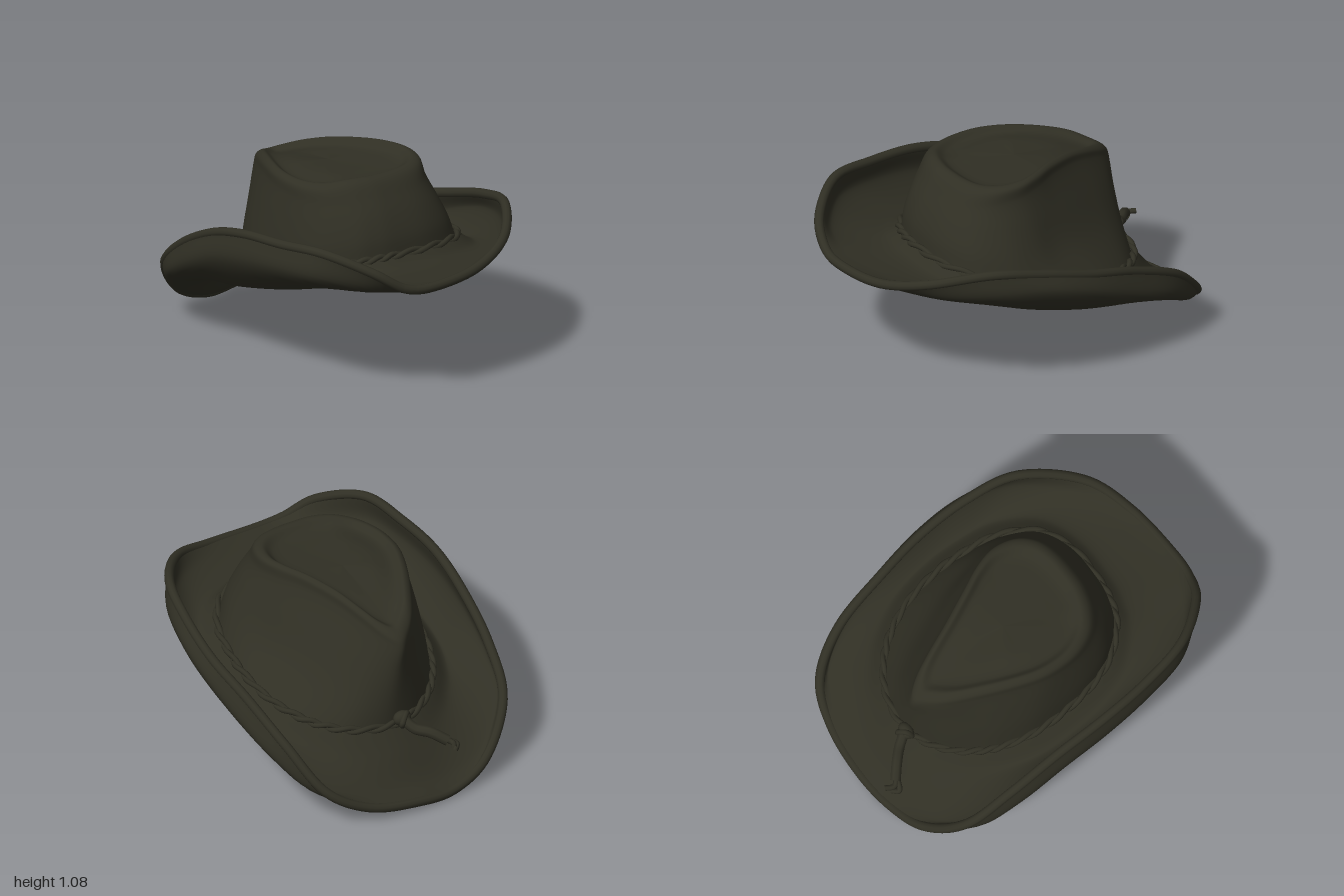
import * as THREE from 'three';

const V = (x, y, z) => new THREE.Vector3(x, y, z);
const felt = new THREE.MeshStandardMaterial({ color: 0x302f24 });
felt.name = 'dark olive felt';

// All rings run front -> left (+x) -> back -> right, with matching points.
const edgePts = [
  [-0.12, 0.64, 0.97], [0.18, 0.665, 0.93], [0.44, 0.74, 0.81], [0.645, 0.805, 0.53],
  [0.71, 0.755, 0.25], [0.72, 0.665, -0.05], [0.68, 0.57, -0.35], [0.62, 0.425, -0.66],
  [0.5, 0.215, -0.87], [0.28, 0.09, -0.95], [0, 0.045, -0.97], [-0.25, 0.03, -0.94],
  [-0.48, 0.13, -0.88], [-0.66, 0.36, -0.74], [-0.71, 0.555, -0.5], [-0.725, 0.71, -0.2],
  [-0.73, 0.795, 0.1], [-0.7, 0.825, 0.4], [-0.63, 0.845, 0.68], [-0.46, 0.765, 0.89], [-0.3, 0.665, 0.96],
].map(p => V(...p));
const bendPts = [
  [-0.1, 0.62, 0.85], [0.2, 0.63, 0.82], [0.47, 0.65, 0.71], [0.665, 0.68, 0.49],
  [0.745, 0.66, 0.23], [0.755, 0.58, -0.03], [0.715, 0.45, -0.32], [0.65, 0.33, -0.6],
  [0.52, 0.2, -0.8], [0.28, 0.13, -0.87], [0, 0.1, -0.88], [-0.25, 0.09, -0.86],
  [-0.5, 0.165, -0.8], [-0.68, 0.32, -0.66], [-0.735, 0.45, -0.45], [-0.75, 0.58, -0.18],
  [-0.75, 0.65, 0.1], [-0.72, 0.69, 0.38], [-0.65, 0.7, 0.64], [-0.46, 0.66, 0.82], [-0.28, 0.63, 0.86],
].map(p => V(...p));
// Teardrop outline of the crown top: x, z
const teardrop = [
  [-0.06, 0.4], [0.1, 0.39], [0.22, 0.35], [0.3, 0.26], [0.325, 0.13], [0.29, 0], [0.22, -0.14],
  [0.13, -0.33], [0.06, -0.5], [0, -0.62], [-0.07, -0.685], [-0.14, -0.64], [-0.22, -0.55],
  [-0.3, -0.4], [-0.37, -0.24], [-0.42, -0.08], [-0.43, 0.06], [-0.41, 0.18], [-0.35, 0.29],
  [-0.25, 0.36], [-0.15, 0.39],
];
const angles = bendPts.map(p => Math.atan2(p.x / 0.77, p.z / 0.93));
// Tilted oval, slightly squared at its front corners
const oval = (rx, rz, y0, slope, cx = 0.02) => angles.map(t => {
  const r = Math.cos(t) > 0 ? 1 + 0.09 * Math.sin(2 * t) ** 2 : 1;
  const z = -0.07 + rz * r * Math.cos(t);
  return V(cx + rx * r * Math.sin(t), y0 + slope * z, z);
});
const crestY = (x, z) =>
  1.075 - 0.42 * Math.min(0, z) ** 2 - 0.1 * Math.max(0, z) ** 2 + 0.24 * Math.min(0, x + 0.2);
const topRing = (scale, drop) => teardrop.map(([x, z]) => {
  const px = -0.06 + (x + 0.06) * scale, pz = -0.08 + (z + 0.08) * scale;
  return V(px, crestY(px, pz) - drop, pz);
});

const baseRing = oval(0.51, 0.62, 0.53, 0.24);
// Shoulder swells forward below the crest and stays high at the pinched back
const shoulder = topRing(1, 0.075).map((p, i) => {
  const c = Math.cos(angles[i]);
  return V(p.x, p.y - 0.025 * c, p.z + 0.05 * Math.max(0, c));
});
// Side of the crown: bulges at the front and right, hollows on the left
const sideRing = s => baseRing.map((b, i) => {
  const t = angles[i];
  const k = s ** (1 + 0.9 * Math.max(0, Math.cos(t)) - 0.35 * Math.sin(t));
  const p = b.clone().lerp(shoulder[i], k);
  p.y = THREE.MathUtils.lerp(b.y, shoulder[i].y, s);
  return p;
});
const ringCurve = pts => new THREE.CatmullRomCurve3(pts, true, 'catmullrom', 0.5);

// Smooth surface through a stack of closed rings
function loft(rings, nu, nv) {
  const curves = rings.map(ringCurve), pos = [], idx = [];
  const columns = Array.from({ length: nu }, (_, i) =>
    new THREE.CatmullRomCurve3(curves.map(c => c.getPoint(i / nu))));
  for (let j = 0; j <= nv; j++)
    for (let i = 0; i < nu; i++) {
      const p = columns[i].getPoint(j / nv);
      pos.push(p.x, p.y, p.z);
      if (j === nv) continue;
      const a = j * nu + i, c = j * nu + (i + 1) % nu;
      idx.push(a, a + nu, c, a + nu, c + nu, c);
    }
  const g = new THREE.BufferGeometry();
  g.setAttribute('position', new THREE.Float32BufferAttribute(pos, 3));
  g.setIndex(idx);
  g.computeVertexNormals();
  return g;
}

// Copy of a surface pushed along its normals; negative offsets face inward
function shell(source, offset) {
  const g = source.clone(), p = g.attributes.position, n = g.attributes.normal;
  for (let i = 0; i < p.count; i++)
    p.setXYZ(i, p.getX(i) + n.getX(i) * offset, p.getY(i) + n.getY(i) * offset, p.getZ(i) + n.getZ(i) * offset);
  if (offset < 0) g.setIndex(Array.from(g.index.array).reverse());
  g.computeVertexNormals();
  return g;
}

export function createModel() {
  const hat = new THREE.Group();
  hat.name = 'hat';
  const add = (name, geometry) => {
    const mesh = new THREE.Mesh(geometry, felt);
    mesh.name = name;
    hat.add(mesh);
    return mesh;
  };
  const tube = (name, pts, radius, closed = false, steps = 24) =>
    add(name, new THREE.TubeGeometry(new THREE.CatmullRomCurve3(pts, closed), steps, radius, 8, closed));

  // Crown: dented teardrop top, rounded shoulder, flaring side
  const crown = loft([
    topRing(0.001, 0.055), topRing(0.45, 0.05), topRing(0.76, 0.035), topRing(0.88, 0),
    topRing(0.97, 0.012), shoulder, sideRing(0.7), sideRing(0.35), baseRing,
  ], 96, 56);
  add('crown', crown);
  add('crownLining', shell(crown, -0.02));

  // Brim: dips beside the crown, then curls up along both sides
  const brimOuter = [oval(0.62, 0.7, 0.45, 0.26), bendPts, edgePts];
  add('brimTop', shell(loft([baseRing, ...brimOuter], 120, 28), 0.018));
  // Underside, with a sweatband running up into the crown
  const opening = oval(0.555, 0.635, 0.455, 0.235, 0);
  add('brimUnderside', shell(loft([sideRing(0.12), baseRing, opening, ...brimOuter], 120, 36), -0.018));
  add('brimEdge', new THREE.TubeGeometry(ringCurve(edgePts), 160, 0.026, 10, true));

  // Thin twisted cord around the foot of the crown
  const foot = ringCurve(baseRing);
  for (let k = 0; k < 2; k++) {
    const pts = [];
    for (let i = 0; i < 160; i++) {
      const p = foot.getPoint(i / 160), a = i / 160 * Math.PI * 32 + k * Math.PI;
      const out = V(p.x - 0.02, 0, p.z + 0.07).normalize();
      pts.push(p.addScaledVector(out, 0.01 + 0.009 * Math.cos(a)).add(V(0, 0.014 + 0.012 * Math.sin(a), 0)));
    }
    tube('bandCord', pts, 0.015, true, 320);
  }

  // Knot and loose tails at the back
  const knot = add('knot', new THREE.SphereGeometry(0.042, 16, 12));
  knot.position.set(-0.06, 0.41, -0.71);
  knot.scale.set(1.2, 1, 0.9);
  tube('knotWrap', [V(-0.1, 0.4, -0.7), V(-0.08, 0.44, -0.72), V(-0.04, 0.4, -0.75), V(-0.06, 0.37, -0.72)], 0.016, true);
  tube('strap', [V(-0.06, 0.41, -0.72), V(-0.1, 0.37, -0.78), V(-0.16, 0.36, -0.84), V(-0.23, 0.32, -0.9)], 0.03);
  tube('strapTail', [V(-0.21, 0.33, -0.88), V(-0.25, 0.31, -0.92), V(-0.23, 0.31, -0.97)], 0.015);
  tube('strapTail', [V(-0.21, 0.33, -0.88), V(-0.28, 0.29, -0.91), V(-0.25, 0.27, -0.94)], 0.015);
  return hat;
}
